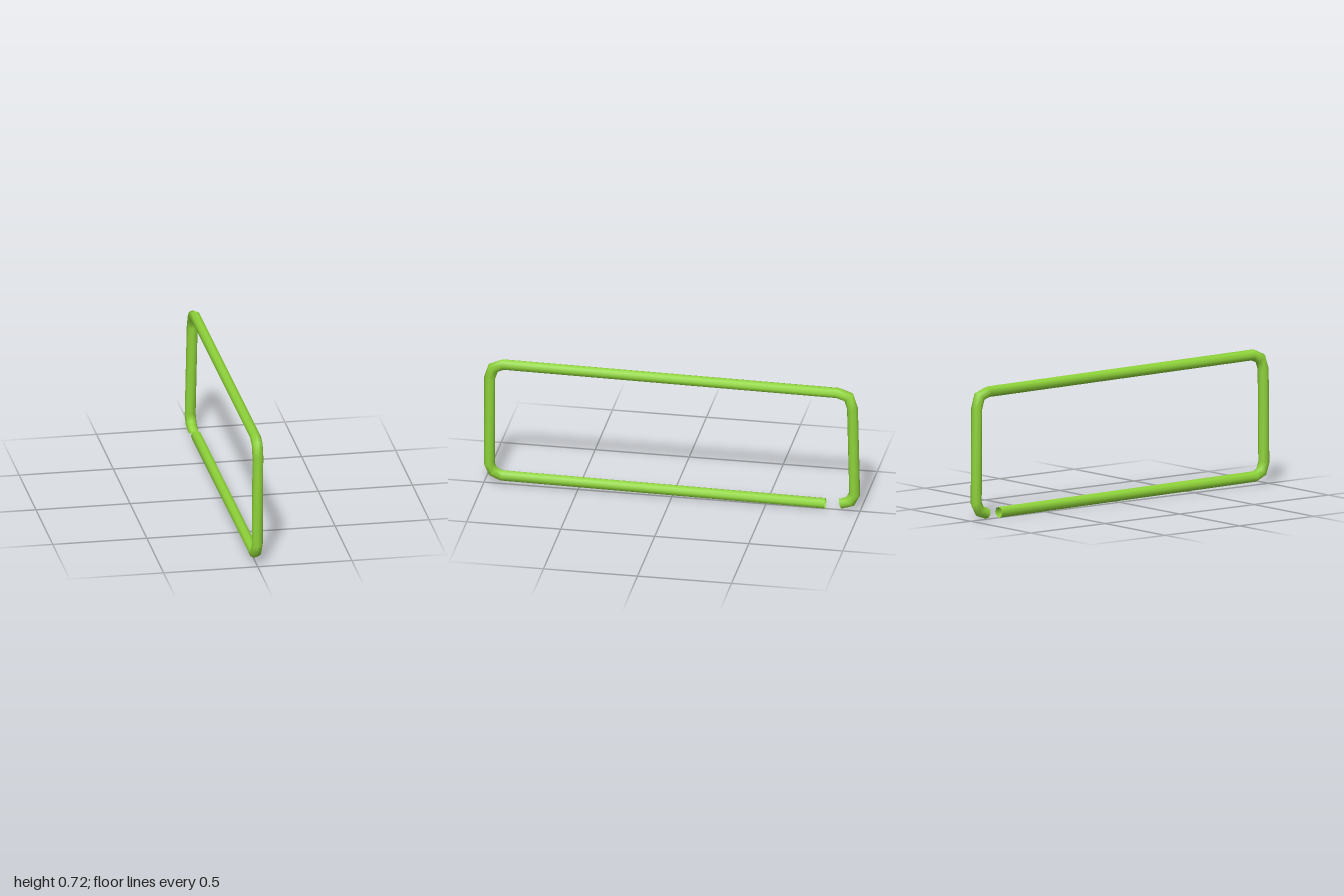
import * as THREE from 'three';

const RADIUS = 0.029, SIDES = 8;

// Sweeps an open, mitred pipe through the given points
function pipe(points) {
  const position = [], index = [];
  const X = new THREE.Vector3(1, 0, 0);
  points.forEach((p, i) => {
    const before = p.clone().sub(points[Math.max(i - 1, 0)]).normalize();
    const after = points[Math.min(i + 1, points.length - 1)].clone().sub(p).normalize();
    const t = before.clone().add(after).normalize();
    const normal = t.clone().cross(X).normalize();
    const miter = RADIUS / t.dot(before.lengthSq() > 0 ? before : after);
    for (let j = 0; j < SIDES; j++) {
      const a = (j / SIDES) * Math.PI * 2;
      const v = p.clone().addScaledVector(X, RADIUS * Math.cos(a)).addScaledVector(normal, miter * Math.sin(a));
      position.push(v.x, v.y, v.z);
      if (i === 0) continue;
      const k = (j + 1) % SIDES, lo = (i - 1) * SIDES, hi = i * SIDES;
      index.push(lo + j, lo + k, hi + k, lo + j, hi + k, hi + j);
    }
  });
  const geometry = new THREE.BufferGeometry();
  geometry.setAttribute('position', new THREE.Float32BufferAttribute(position, 3));
  geometry.setIndex(index);
  geometry.computeVertexNormals();
  return geometry;
}

export function createModel() {
  const group = new THREE.Group();
  group.name = 'bentPipeFrame';

  // Centre line: bottom rail, front post, top rail, back post, short return
  const path = [
    [-0.003, 0.032, -0.815],
    [-0.002, 0.049, 0.905], [0, 0.07, 0.952], [0.003, 0.118, 0.971],
    [0.006, 0.61, 0.969], [0.006, 0.669, 0.95], [0.006, 0.693, 0.897],
    [0.003, 0.677, -0.882], [0.002, 0.657, -0.94], [0.001, 0.594, -0.96],
    [-0.008, 0.098, -0.97], [-0.008, 0.052, -0.946], [-0.007, 0.035, -0.896],
  ].map((p) => new THREE.Vector3(...p));

  const material = new THREE.MeshStandardMaterial({ color: 0x8fd43a, side: THREE.DoubleSide });
  const frame = new THREE.Mesh(pipe(path), material);
  frame.name = 'pipe';
  group.add(frame);
  return group;
}
